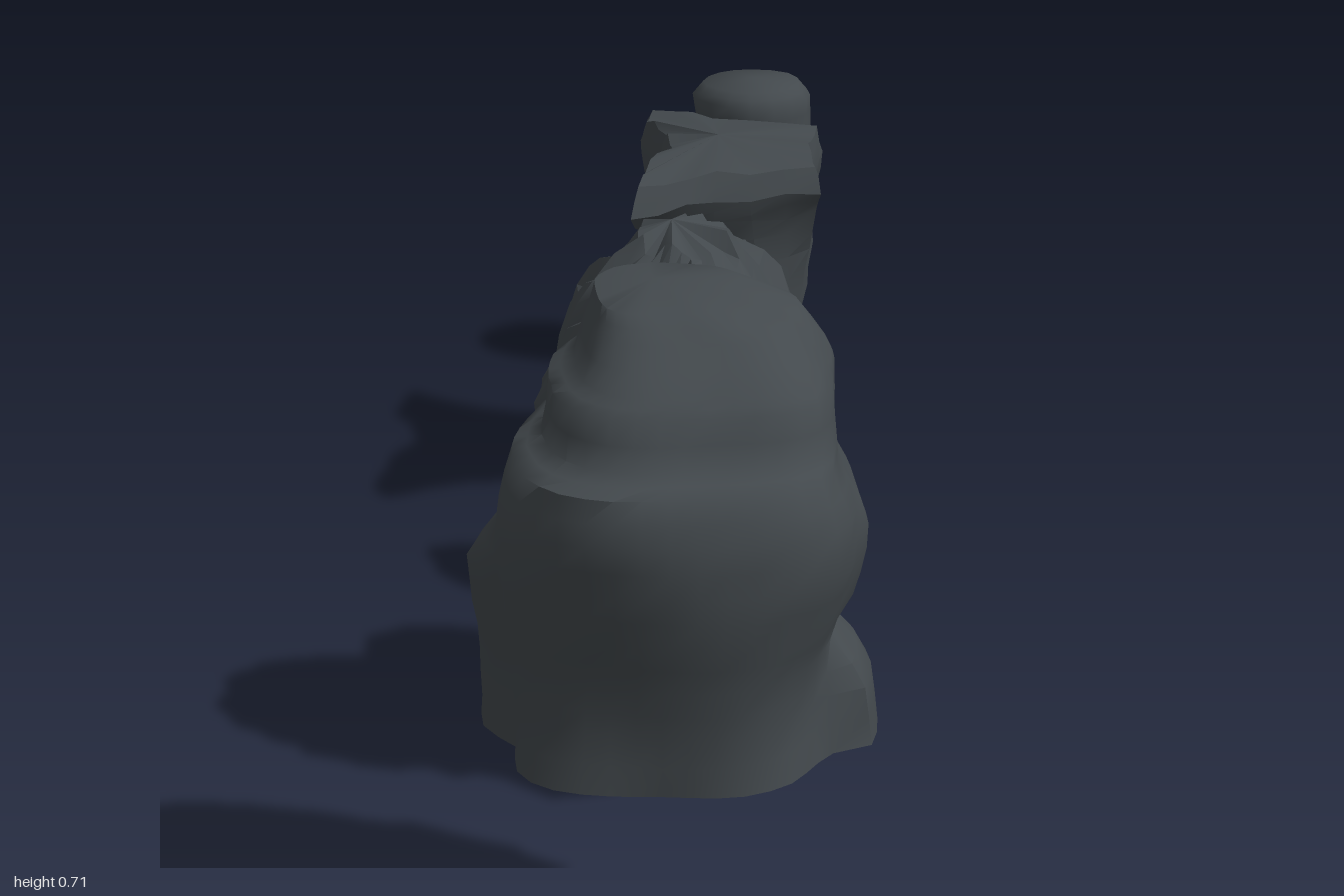
import * as THREE from 'three';
import { toCreasedNormals } from 'three/addons/utils/BufferGeometryUtils.js';

const { lerp, smoothstep } = THREE.MathUtils;

// Repeatable value in 0..1
const hash = (a, b, c) => {
  const s = Math.sin(a * 127.1 + b * 311.7 + c * 74.7) * 43758.5453;
  return s - Math.floor(s);
};

const circle = (n) => Array.from({ length: n }, (_, i) => {
  const a = (i / n) * Math.PI * 2;
  return [Math.cos(a), Math.sin(a)];
});

// Put a halfway ring between each pair of rings
const refine = (rings) => rings.flatMap((r, j) => {
  const next = rings[j + 1];
  return next ? [r, r.map((v, k) => (v + next[k]) / 2)] : [r];
});

// Loft through rings [y, x0, x1, z0, z1, blend to outline], listed upwards.
// square: 2 is round, more is boxier. wave: smooth swells. groove: upright cuts. chip: random dents.
// bulges: [angle, half width, reach, top height, base height] ledges pushed out of the side.
function loft(rings, top, o) {
  const outline = o.outline || circle(o.sides);
  const n = outline.length, pos = [], idx = [];
  rings.forEach(([y, x0, x1, z0, z1, blend], j) => {
    outline.forEach(([ox, oz], i) => {
      const a = Math.atan2(oz, ox), c = Math.cos(a), s = Math.sin(a), p = o.square || 2;
      const r = 1 / Math.pow(Math.abs(c) ** p + Math.abs(s) ** p, 1 / p);
      const w = 0.5 + 0.25 * Math.sin(3 * a + y * 16 + o.seed) + 0.25 * Math.sin(5 * a - y * 11 + o.seed * 2);
      const dent = (o.wave || 0) * w
        + (o.groove || 0) * hash(i, 0, o.seed) + (o.chip || 0) * hash(i, j + 1, o.seed);
      const k = 1 - dent * (1 - 0.8 * blend);
      let push = 0;
      for (const [angle, width, reach, yTop, yBase] of o.bulges || []) {
        const da = Math.abs(Math.atan2(Math.sin(a - angle), Math.cos(a - angle)));
        const rise = (1 - smoothstep(y, yTop - 0.025, yTop + 0.025)) * smoothstep(y, yBase - 0.05, yBase);
        push += reach * rise * (1 - smoothstep(da, width * 0.5, width));
      }
      const ux = lerp(c * r, ox, blend) * k;
      const uz = lerp(s * r, oz, blend) * k;
      const jag = j > 0 ? (hash(i, j, o.seed + 9) - 0.5) * (o.jag || 0) : 0;
      pos.push(
        (x0 + x1) / 2 + ux * (x1 - x0) / 2 + c * push,
        y + jag,
        (z0 + z1) / 2 + uz * (z1 - z0) / 2 + s * push,
      );
    });
  });
  const topIndex = pos.length / 3;
  pos.push(...top);
  if (o.tip) pos.push(...o.tip);
  const last = (rings.length - 1) * n;
  for (let i = 0; i < n; i++) {
    const i2 = (i + 1) % n;
    for (let j = 0; j < rings.length - 1; j++) {
      const a = j * n + i, b = j * n + i2;
      idx.push(a, a + n, b, b, a + n, b + n);
    }
    idx.push(last + i, topIndex, last + i2);
    if (o.tip) idx.push(topIndex + 1, i, i2);
  }
  const g = new THREE.BufferGeometry();
  g.setAttribute('position', new THREE.Float32BufferAttribute(pos, 3));
  g.setIndex(idx);
  return toCreasedNormals(g, o.crease);
}

export function createModel() {
  const model = new THREE.Group();
  const stone = new THREE.MeshStandardMaterial({ color: 0x43494d, side: THREE.DoubleSide });
  stone.name = 'dark stone';

  const add = (name, rings, top, options) => {
    const full = rings.map((r) => (r.length < 6 ? [...r, 0] : r));
    const m = new THREE.Mesh(loft(refine(full), top, options), stone);
    m.name = name;
    model.add(m);
  };

  // Large smooth boulder, bulging above its waist, with ledges on the sides and back
  add('largeBoulder', [
    [0.27, -0.165, 0.16, 0.655, 0.975],
    [0.33, -0.162, 0.155, 0.655, 0.975],
    [0.38, -0.162, 0.158, 0.655, 0.982],
    [0.43, -0.165, 0.17, 0.655, 0.995],
    [0.48, -0.167, 0.18, 0.655, 1.005],
    [0.53, -0.165, 0.178, 0.655, 1.008],
    [0.575, -0.155, 0.162, 0.66, 0.995],
    [0.59, -0.128, 0.16, 0.66, 0.965],
    [0.635, -0.124, 0.158, 0.665, 0.945],
    [0.65, -0.1, 0.15, 0.67, 0.93],
    [0.685, -0.087, 0.12, 0.68, 0.88],
    [0.705, -0.078, 0.065, 0.69, 0.85],
  ], [-0.02, 0.715, 0.77], {
    sides: 40, square: 3, wave: 0.09, chip: 0.015, seed: 1, crease: 0.9,
    bulges: [
      [-2.85, 0.6, 0.035, 0.48, 0.2],
      [-0.12, 0.5, 0.04, 0.36, 0.2],
      [-0.2, 0.6, 0.015, 0.53, 0.44],
      [-1.75, 0.55, 0.035, 0.46, 0.2],
    ],
  });

  // Craggy peak with small stones round its foot
  add('craggyPeak', [
    [0.275, -0.195, 0.17, 0.13, 0.475],
    [0.36, -0.19, 0.168, 0.15, 0.48],
    [0.45, -0.172, 0.15, 0.2, 0.48],
    [0.54, -0.14, 0.118, 0.235, 0.475],
    [0.59, -0.105, 0.08, 0.265, 0.465],
    [0.625, -0.06, 0.045, 0.31, 0.425],
  ], [-0.02, 0.645, 0.37], {
    sides: 32, square: 2.7, groove: 0.11, chip: 0.09, jag: 0.025, seed: 7, crease: 0.45,
    bulges: [
      [-1.92, 0.42, 0.085, 0.35, 0.2],
      [1.05, 0.38, 0.065, 0.35, 0.2],
      [2.43, 0.35, 0.02, 0.39, 0.2],
    ],
  });

  // Small jagged rock
  add('smallRock', [
    [0.27, -0.092, 0.078, -0.198, -0.033],
    [0.345, -0.08, 0.065, -0.19, -0.038],
    [0.385, -0.058, 0.045, -0.165, -0.055],
    [0.425, -0.03, 0.025, -0.14, -0.07],
  ], [0, 0.443, -0.1], { sides: 14, square: 5, groove: 0.16, chip: 0.12, jag: 0.025, seed: 11, crease: 0.3 });

  // Hanging spike with a star-shaped flat head
  const corners = [[1, -0.44], [0.92, 0], [1, 0.44], [-0.1, 0.69], [-0.95, 1],
    [-0.87, 0.38], [-0.65, 0], [-0.75, -0.35], [-0.98, -0.6], [-0.95, -1], [-0.22, -0.68]];
  const star = corners.flatMap((c, i) => {
    const d = corners[(i + 1) % corners.length];
    return [0, 1 / 3, 2 / 3].map((t) => [lerp(c[0], d[0], t), lerp(c[1], d[1], t)]);
  });
  add('hangingSpike', [
    [0.03, -0.045, 0.018, -0.505, -0.445],
    [0.1, -0.072, 0.052, -0.572, -0.418],
    [0.2, -0.09, 0.1, -0.605, -0.4],
    [0.28, -0.095, 0.122, -0.655, -0.392, 0.1],
    [0.34, -0.1, 0.126, -0.675, -0.37, 0.35],
    [0.4, -0.108, 0.13, -0.692, -0.325, 0.8],
    [0.43, -0.108, 0.132, -0.695, -0.297, 1],
    [0.465, -0.098, 0.125, -0.67, -0.315, 1],
  ], [0, 0.478, -0.5],
  { outline: star, tip: [-0.012, 0, -0.47], groove: 0.1, chip: 0.06, jag: 0.012, seed: 12, crease: 0.35 });

  // Smooth hanging cone
  add('smoothCone', [
    [0.122, 0.035, 0.08, -0.942, -0.883],
    [0.16, 0.02, 0.097, -0.953, -0.877],
    [0.23, 0.0, 0.112, -0.964, -0.866],
    [0.3, -0.025, 0.114, -0.985, -0.853],
    [0.37, -0.045, 0.115, -1, -0.848],
    [0.41, -0.05, 0.115, -1.003, -0.846],
    [0.428, -0.035, 0.1, -0.985, -0.86],
  ], [0.033, 0.433, -0.925], { sides: 16, tip: [0.055, 0.105, -0.91], wave: 0.06, seed: 13, crease: 1.1 });

  return model;
}
